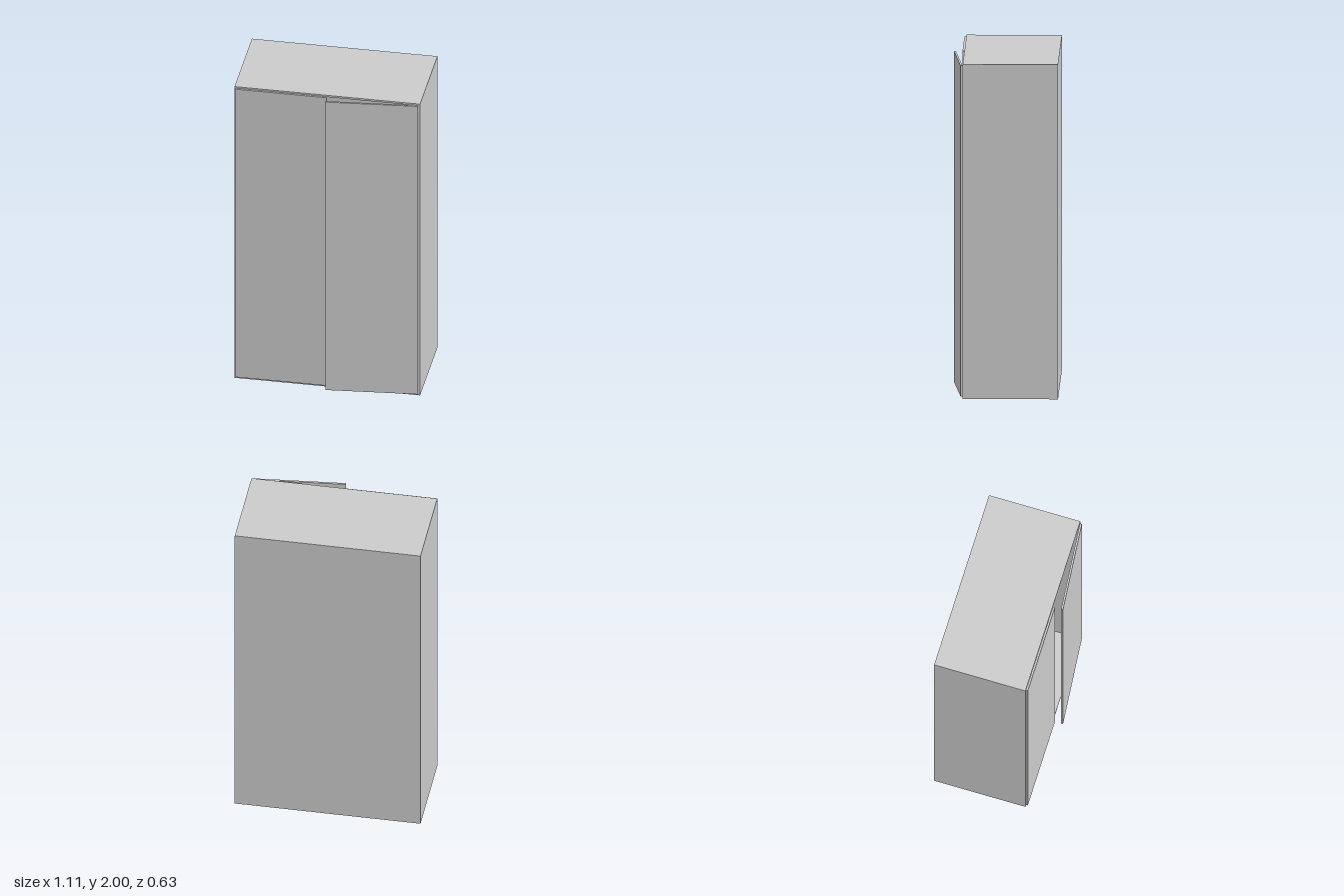
import * as THREE from 'three';

const W = 1.114, H = 2, BACK = -0.313, FRONT = 0.25, T = 0.012;
const DOOR_W = 0.548, DOOR_H = 1.977;

export function createModel() {
  const group = new THREE.Group();
  const material = new THREE.MeshStandardMaterial({ color: 0xcccccc, flatShading: true });

  const panel = (name, w, h, d, x, y, z, parent = group) => {
    const mesh = new THREE.Mesh(new THREE.BoxGeometry(w, h, d), material);
    mesh.name = name;
    mesh.position.set(x, y, z);
    parent.add(mesh);
    return mesh;
  };

  // Hollow carcass, open at the front
  const depth = FRONT - BACK, midZ = (FRONT + BACK) / 2;
  for (const [name, s] of [['leftSide', 1], ['rightSide', -1]]) {
    panel(name, T, H, depth, s * (W - T) / 2, H / 2, midZ);
  }
  for (const [name, y] of [['bottomPanel', T / 2], ['topPanel', H - T / 2]]) {
    panel(name, W - 2 * T, T, depth, 0, y, midZ);
  }
  panel('backPanel', W - 2 * T, H - 2 * T, T, 0, H / 2, BACK + T / 2);

  // Doors hinged at the outer edges; the left one stands ajar
  for (const [name, s, angle] of [['leftDoor', 1, 0.0916], ['rightDoor', -1, 0]]) {
    const hinge = new THREE.Group();
    hinge.name = name + 'Hinge';
    hinge.position.set(s * 0.549, H / 2 + 0.002, FRONT + 0.001);
    if (s > 0) hinge.position.x = 0.546;
    hinge.rotation.y = s * angle;
    panel(name, DOOR_W, DOOR_H, T, -s * DOOR_W / 2, 0, T / 2, hinge);
    group.add(hinge);
  }

  return group;
}
